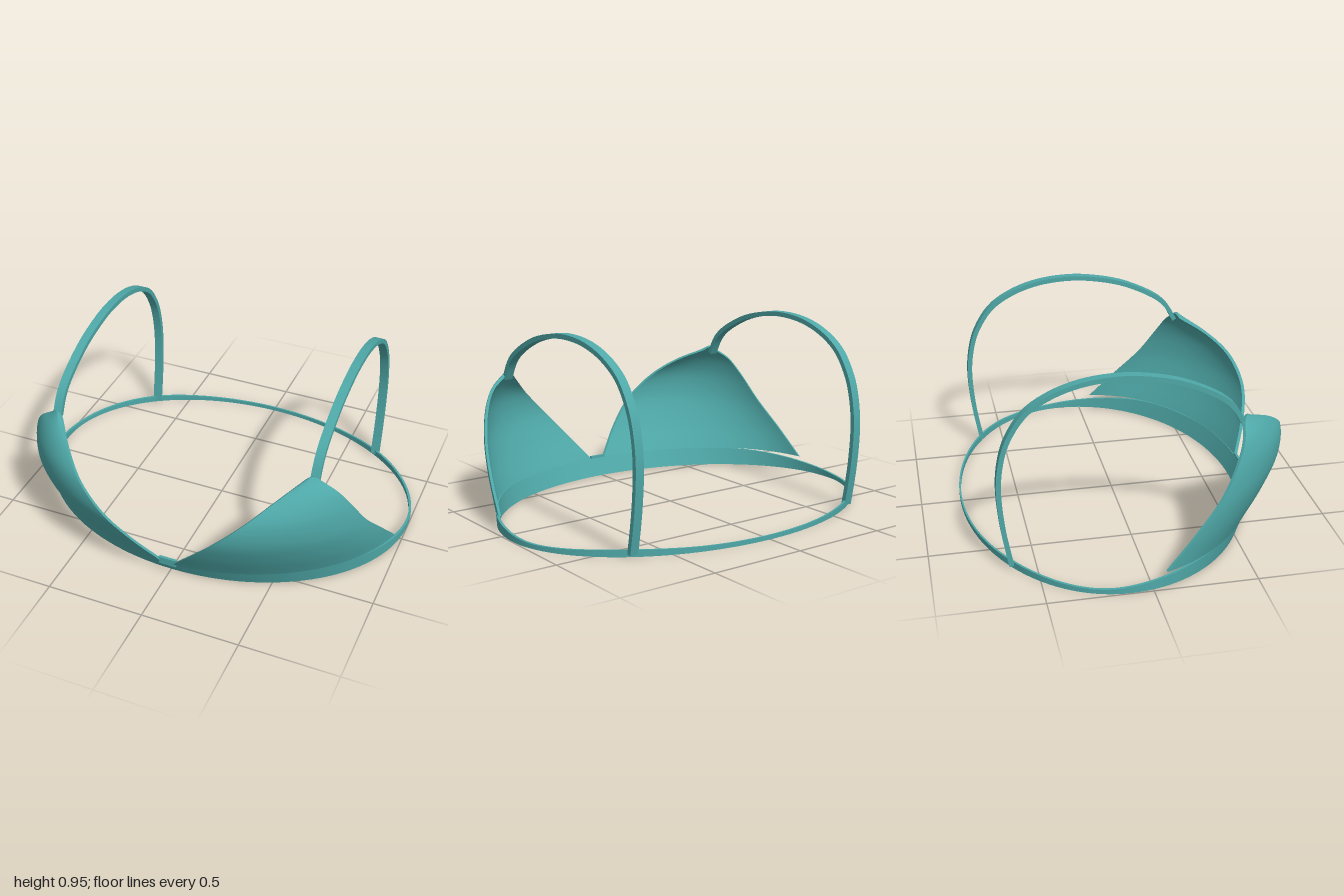
import * as THREE from 'three';
import { toCreasedNormals } from 'three/addons/utils/BufferGeometryUtils.js';

const V = (x, y, z) => new THREE.Vector3(x, y, z);
const material = new THREE.MeshStandardMaterial({ color: 0x4fa8a8 });

// Closed shell from point(s, t, d): s along, t up, d = 0 outside .. 1 inside
function shell(point, ns, nt, mirror = false, closed = false) {
  const pos = [];
  const skin = (f, nu, nv, flip) => {
    const put = (...ps) => {
      if (flip !== mirror) ps.reverse();
      ps.forEach(p => pos.push(mirror ? -p.x : p.x, p.y, p.z));
    };
    for (let i = 0; i < nu; i++) for (let j = 0; j < nv; j++) {
      const a = f(i / nu, j / nv), b = f((i + 1) / nu, j / nv);
      const c = f((i + 1) / nu, (j + 1) / nv), d = f(i / nu, (j + 1) / nv);
      put(a, b, c);
      put(a, c, d);
    }
  };
  skin((s, t) => point(s, t, 0), ns, nt, false);
  skin((s, t) => point(s, t, 1), ns, nt, true);
  skin((s, d) => point(s, 1, d), ns, 1, false);
  skin((s, d) => point(s, 0, d), ns, 1, true);
  if (!closed) {
    skin((d, t) => point(0, t, d), 1, nt, true);
    skin((d, t) => point(1, t, d), 1, nt, false);
  }
  const geo = new THREE.BufferGeometry();
  geo.setAttribute('position', new THREE.Float32BufferAttribute(pos, 3));
  return toCreasedNormals(geo, 0.7);
}

// Oval band, tall and flared at the front, narrow at the back
function bandPoint(s, t, d) {
  const a = s * Math.PI * 2, c = Math.cos(a);
  const off = Math.min(a, Math.PI * 2 - a);
  const front = 1 - THREE.MathUtils.smoothstep(off, 0.79, 1.83);
  const h = 0.022 + 0.07 * front + 0.012 * Math.exp(-(((off - 2.36) / 0.35) ** 2));
  const depth = c > 0 ? 0.765 + 0.042 * t * front : 0.69;
  const k = 1 - 0.013 * d;
  return V(Math.sin(a) * k, 0.003 * (1 - front) + h * t, -0.11 + c * depth * k);
}

// Cup edges, from the bottom up to the strap
const innerEdge = new THREE.CatmullRomCurve3([
  V(0.03, 0.075, 0.7), V(0.165, 0.245, 0.775), V(0.29, 0.385, 0.805),
  V(0.42, 0.51, 0.765), V(0.53, 0.605, 0.665), V(0.635, 0.677, 0.53)]);
const outerEdge = new THREE.CatmullRomCurve3([
  V(0.976, 0.08, 0.067), V(0.94, 0.23, 0.21), V(0.89, 0.38, 0.345),
  V(0.835, 0.52, 0.43), V(0.775, 0.615, 0.475), V(0.7, 0.67, 0.495)]);

function cupPoint(s, t, d) {
  const a = THREE.MathUtils.lerp(0.03, 1.35, s);
  const chord = t0 => innerEdge.getPoint(t0).lerp(outerEdge.getPoint(t0), s);
  // the bottom curve fades out towards the tip
  const bow = V(Math.sin(a), 0.078 + 0.014 * Math.sin(Math.PI * s), -0.11 + 0.81 * Math.cos(a)).sub(chord(0));
  const p = chord(t).addScaledVector(bow, (1 - t) ** 1.25);
  p.y += 0.02 * Math.sin(Math.PI * s) * t ** 4;
  // thickness goes towards the middle of the body
  return p.lerp(V(0.3, 0.25, -0.1), 0.018 * d);
}

// Flat strap: a ribbon outline in the side plane, extruded across its width
function strapGeometry() {
  const path = new THREE.SplineCurve([
    [0.495, 0.655], [0.44, 0.75], [0.35, 0.82], [0.19, 0.893], [0.02, 0.932], [-0.12, 0.942],
    [-0.27, 0.927], [-0.41, 0.882], [-0.53, 0.805], [-0.61, 0.69], [-0.65, 0.57],
    [-0.666, 0.42], [-0.652, 0.22], [-0.618, 0.015]].map(p => new THREE.Vector2(...p)));
  const n = 56, outside = [], inside = [];
  for (let i = 0; i <= n; i++) {
    const p = path.getPoint(i / n), g = path.getTangent(i / n);
    const side = new THREE.Vector2(-g.y, g.x).multiplyScalar(0.012);
    outside.push(p.clone().add(side));
    inside.unshift(p.clone().sub(side));
  }
  const width = 0.044;
  const geo = new THREE.ExtrudeGeometry(new THREE.Shape([...outside, ...inside]),
    { depth: width, bevelEnabled: false });
  geo.translate(0, 0, -width / 2).rotateY(-Math.PI / 2);
  return toCreasedNormals(geo, 0.7);
}

export function createModel() {
  const group = new THREE.Group();
  const add = (name, geo) => {
    const mesh = new THREE.Mesh(geo, material);
    mesh.name = name;
    group.add(mesh);
    return mesh;
  };

  add('band', shell(bandPoint, 128, 4, false, true));
  add('centreBridge', new THREE.BoxGeometry(0.09, 0.04, 0.014)).position.set(0, 0.085, 0.694);

  for (const [side, x] of [['left', 1], ['right', -1]]) {
    add(side + 'Cup', shell(cupPoint, 28, 28, x < 0));
    add(side + 'Strap', strapGeometry()).position.x = 0.67 * x;
  }
  return group;
}
